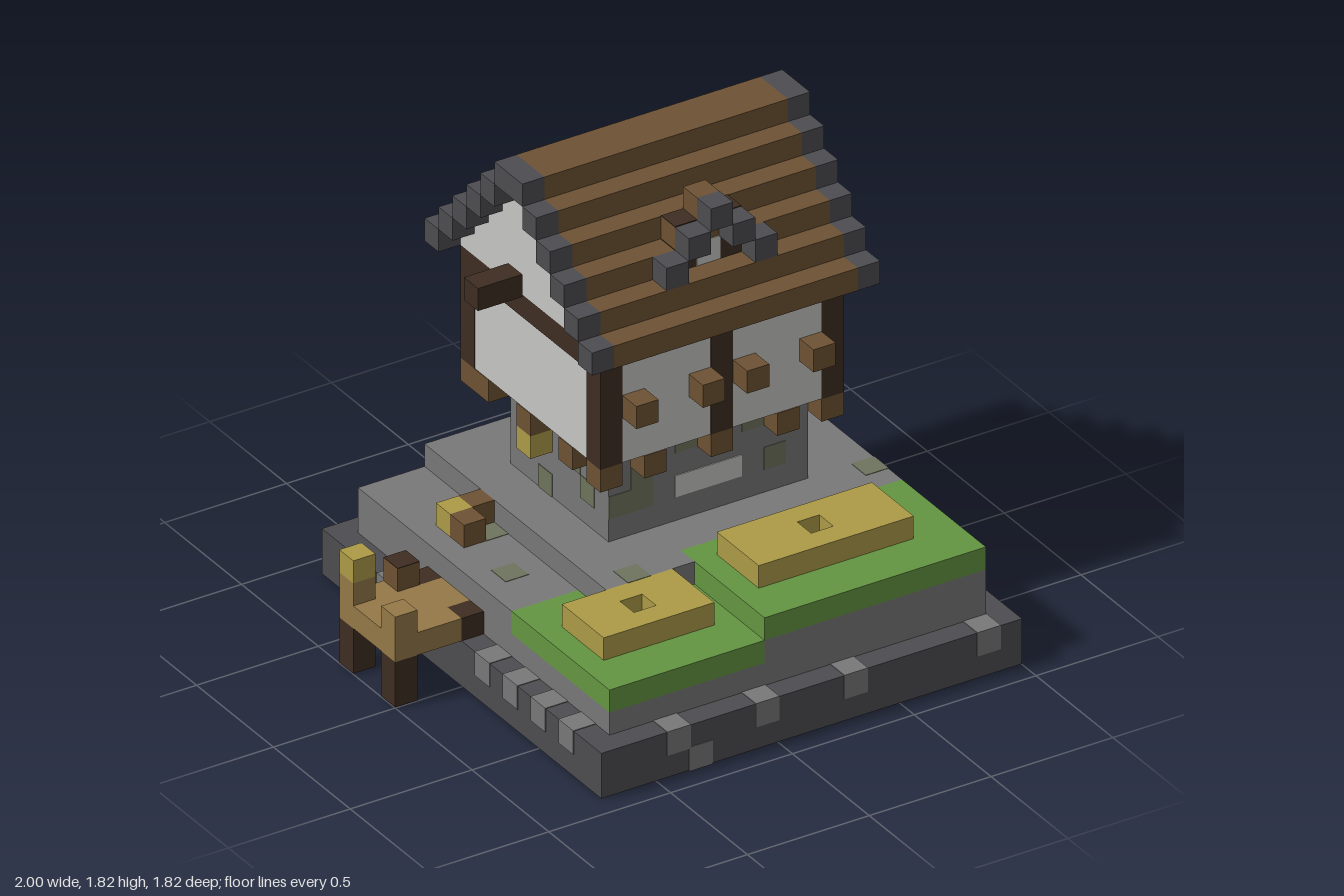
import * as THREE from 'three';

const U = 1 / 11; // one cell of the block grid

export function createModel() {
  const model = new THREE.Group();
  const mat = (name, color) => {
    const m = new THREE.MeshStandardMaterial({ color });
    m.name = name;
    return m;
  };
  const stone = mat('stone', 0x787878);
  const slate = mat('dark slate', 0x4d4d51);
  const wood = mat('brown wood', 0x6e5233);
  const bark = mat('dark timber', 0x3e2d22);
  const plank = mat('tan plank', 0x947847);
  const straw = mat('straw yellow', 0xad9b47);
  const grass = mat('grass green', 0x649541);
  const water = mat('water blue', 0x3859ba);
  const plaster = mat('pale plaster', 0xc6c6c3);
  const moss = mat('mossy stone', 0x6e745d);

  // Box between grid corners (x 0..22, y 0..20, z 0..20), optionally grown by g cells
  function block(name, m, x0, x1, y0, y1, z0, z1, g = 0) {
    const geo = new THREE.BoxGeometry(x1 - x0 + 2 * g, y1 - y0 + 2 * g, z1 - z0 + 2 * g);
    geo.scale(U, U, U);
    const mesh = new THREE.Mesh(geo, m);
    mesh.position.set(((x0 + x1) / 2 - 11) * U, ((y0 + y1) / 2) * U, ((z0 + z1) / 2 - 10) * U);
    mesh.name = name;
    model.add(mesh);
    return mesh;
  }
  const cell = (name, m, x, y, z, g = 0) => block(name, m, x, x + 1, y, y + 1, z, z + 1, g);

  // Foundation with lighter stones set in its faces
  block('foundation', slate, 3, 22, 0, 2, 0, 20);
  const stones = [
    [6, 1, 19], [7, 0, 19], [10, 1, 19], [14, 1, 19], [20, 1, 19],
    [21, 1, 14], [21, 0, 15], [21, 1, 9], [21, 0, 9], [21, 0, 8], [21, 0, 1], [21, 1, 1], [21, 1, 3],
    [12, 1, 0], [14, 1, 0], [18, 1, 0], [19, 1, 0], [20, 1, 0], [5, 0, 0], [9, 0, 0],
    [3, 1, 4], [3, 1, 7], [3, 1, 11], [3, 1, 13], [3, 1, 15], [3, 1, 17], [3, 0, 5],
  ];
  for (const [x, y, z] of stones) cell('foundationStone', stone, x, y, z, 0.03);

  // Stones scattered across the underside
  let seed = 7;
  const rand = (n) => {
    seed = (seed * 16807) % 2147483647;
    return seed % n;
  };
  for (let n = 0; n < 42; n++) {
    const x = 4 + rand(17), z = 1 + rand(18);
    block('undersideStone', stone, x + 0.1, x + 0.9, -0.02, 0.08, z + 0.1, z + 0.9);
  }

  // Stepped terrace and lawns
  block('terraceBase', stone, 4, 21, 2, 3, 1, 19);
  block('lowerTerrace', stone, 4, 7, 3, 4, 1, 12);
  block('lowerLawn', grass, 4, 7, 3, 4, 12, 19);
  block('lowerLawn', grass, 7, 11, 3, 4, 14, 19);
  block('upperTerrace', stone, 7, 11, 3, 5, 1, 14);
  block('upperTerrace', stone, 11, 21, 3, 4, 1, 19);
  block('upperTerrace', stone, 11, 21, 4, 5, 1, 13);
  block('upperLawn', grass, 11, 21, 4, 5, 13, 19);
  for (const [x, y, z] of [[5, 3, 9], [8, 4, 13], [20, 4, 11]])
    cell('mossPatch', moss, x, y, z, 0.02);

  // Straw beds with a square water hole
  for (const [x0, x1, y, hole] of [[5, 10, 4, 7], [12, 19, 5, 15]]) {
    block('bedFront', straw, x0, x1, y, y + 1, 16, 17);
    block('bedBack', straw, x0, x1, y, y + 1, 14, 15);
    block('bedSide', straw, x0, hole, y, y + 1, 15, 16);
    block('bedSide', straw, hole + 1, x1, y, y + 1, 15, 16);
    block('bedWater', water, hole, hole + 1, y, y + 0.08, 15, 16);
  }

  // Stone ground floor with moss and pale windows
  block('groundFloor', stone, 9, 18, 5, 9, 4, 11);
  for (const [x, y] of [[9, 6], [10, 7], [10, 6], [12, 8], [15, 8], [16, 6]])
    block('mossFront', moss, x, x + 1, y, y + 1, 10.9, 11.03);
  for (const [y, z] of [[5, 9], [5, 8], [6, 7], [7, 4], [5, 5]])
    block('mossRight', moss, 17.9, 18.03, y, y + 1, z, z + 1);
  for (const [y, z] of [[6, 9], [7, 8], [5, 6]])
    block('mossLeft', moss, 8.97, 9.1, y, y + 1, z, z + 1);
  for (const x of [9, 10, 16])
    block('mossBack', moss, x, x + 1, 6, 7, 3.97, 4.1);
  block('frontWindow', plaster, 12, 15, 6.05, 7, 10.95, 11.04);
  for (const x of [12, 14])
    block('backWindow', plaster, x + 0.1, x + 0.9, 6, 7, 3.96, 4.05);

  // Timber-framed upper floor
  block('upperWalls', plaster, 8.03, 18.97, 9, 14, 2.03, 11.97);
  for (const z of [2, 11]) {
    for (const x of [8, 13, 18]) block('wallPost', bark, x, x + 1, 9, 14, z, z + 1);
  }
  for (const x of [8, 18]) block('sideBeam', bark, x, x + 1, 13, 14, 3, 11);
  for (const x of [9, 12, 14, 17]) cell('shutter', wood, x, 11, 12);

  // Brackets below the overhanging floor
  for (const z of [2, 11])
    for (const x of [8, 10, 13, 16, 18]) cell('bracket', wood, x, 8, z);
  for (const x of [8, 18])
    for (const z of [3, 6, 9]) cell('bracket', wood, x, 8, z);
  cell('hangingLantern', straw, 8, 7, 6);

  // Stepped roof: timber courses, slate verges and plaster gables
  for (let n = 0; n < 6; n++) {
    const y = 14 + n;
    const courses = n < 5 ? [[1 + n, 2 + n], [12 - n, 13 - n]] : [[6, 8]];
    for (const [z0, z1] of courses) {
      block('roofCourse', wood, 8, 19, y, y + 1, z0, z1);
      for (const x of [7, 19]) block('roofVerge', slate, x, x + 1, y, y + 1, z0, z1);
    }
    if (n < 5) block('gable', plaster, 8, 19, y, y + 1, 2 + n, 12 - n);
  }

  // Dormer on the front slope
  for (const [x, y] of [[11, 16], [12, 17], [13, 18], [14, 17], [15, 16]])
    cell('dormerArch', slate, x, y, 11);
  for (const x of [12, 14]) {
    cell('dormerPost', bark, x, 16, 10, 0.02);
    cell('dormerRoof', wood, x, 17, 10);
    block('dormerCap', bark, x, x + 1, 18, 18.04, 10, 11);
  }
  cell('dormerWindow', plaster, 13, 16, 10, 0.03);
  block('dormerRidge', wood, 13, 14, 17, 19, 10, 11);

  // Hoist beam on the left gable
  block('hoistBeam', bark, 5, 7, 15, 16, 7, 8);
  // Lantern and crates on the lower terrace
  cell('groundLantern', straw, 5, 4, 5);
  cell('crate', wood, 6, 4, 5);
  cell('crate', wood, 5, 4, 6);
  cell('mossPatch', moss, 6, 3, 6, 0.02);

  // Jetty on posts
  block('jettyDeck', plank, 0, 3, 2, 3, 6, 10);
  block('jettyDeck', plank, 3, 4, 2, 3, 7, 9);
  for (const z of [6, 9]) {
    block('jettyPost', bark, 0, 1, 0, 2, z, z + 1);
    cell('jettyPostTop', plank, 0, 3, z);
    cell('jettyBeam', bark, 3, 2, z);
  }
  cell('jettyLantern', straw, 0, 4, 6);
  cell('jettyRail', wood, 2, 3, 6);
  block('jettyRailCap', bark, 2, 3, 4, 4.04, 6, 7);

  return model;
}
